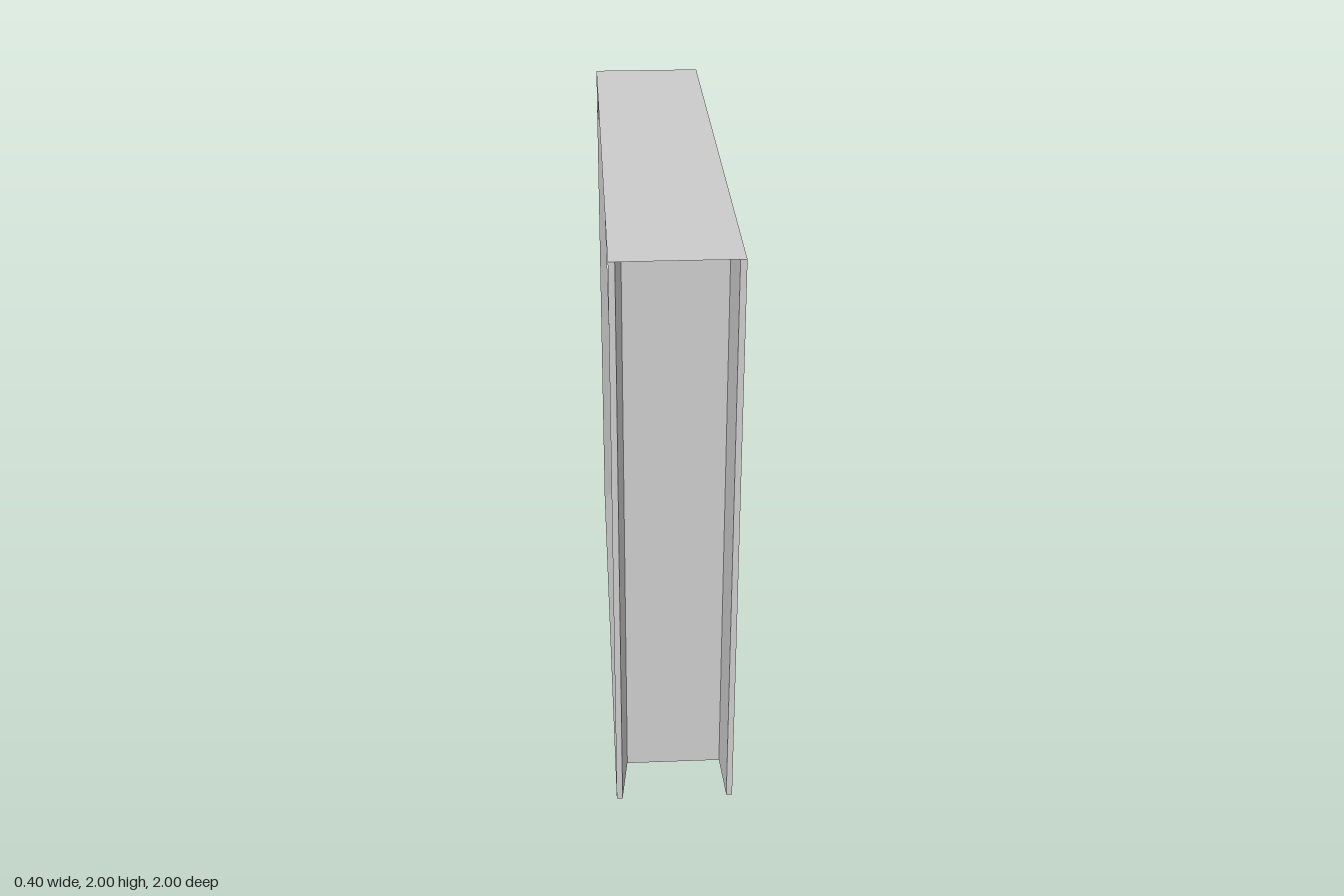
import * as THREE from 'three';

const material = new THREE.MeshStandardMaterial({
  color: 0xcccccc, flatShading: true, side: THREE.DoubleSide,
});

const DEPTH = 0.084; // channel depth
const TIP = 0.2, LIP = 0.18, ROOT = 0.16; // half widths across the channel

// Builds one mesh from convex polygons, each a list of [x, y, z] corners
function sheet(name, polygons) {
  const positions = [];
  for (const p of polygons) {
    for (let i = 1; i < p.length - 1; i++) positions.push(...p[0], ...p[i], ...p[i + 1]);
  }
  const geometry = new THREE.BufferGeometry();
  geometry.setAttribute('position', new THREE.Float32BufferAttribute(positions, 3));
  geometry.computeVertexNormals();
  const mesh = new THREE.Mesh(geometry, material);
  mesh.name = name;
  return mesh;
}

// Channel profile: [x, k], where k = 0 is the outer rim and k = 1 the web
const profile = [
  [TIP, 0], [LIP, 0], [ROOT, 1], [-ROOT, 1], [-LIP, 0], [-TIP, 0],
];
// Web and inner flange faces, then the flared outer flange faces
const strips = profile.slice(1).map((p, i) => [profile[i], p]);
strips.push([[ROOT, 1], [TIP, 0]], [[-TIP, 0], [-ROOT, 1]]);

// Sweeps the profile between two mitred ends, each { rim: [y, z], web: [y, z] }
function channel(name, a, b) {
  const at = (end, [x, k]) => [x, ...(k ? end.web : end.rim)];
  return sheet(name, strips.map(([p, q]) => [at(a, p), at(a, q), at(b, q), at(b, p)]));
}

export function createModel() {
  const group = new THREE.Group();
  group.name = 'channelFrame';

  const top = (s) => ({ rim: [2, s], web: [1.985, s * (1 - DEPTH)] });
  const corner = (s) => ({ rim: [0, s], web: [DEPTH, s * (1 - DEPTH)] });

  // Three channel sides
  group.add(channel('frontPost', top(1), corner(1)));
  group.add(channel('bottomRail', corner(1), corner(-1)));
  group.add(channel('backPost', corner(-1), top(-1)));

  // Thin top plate
  group.add(sheet('topPlate', [[[-TIP, 2, 1], [TIP, 2, 1], [TIP, 2, -1], [-TIP, 2, -1]]]));

  // Sloping corner braces, notched around the posts
  for (const s of [1, -1]) {
    const at = (x, d) => [x, 1.8 + d * 0.5, s * (1 - d)];
    const polygons = [[at(-ROOT, DEPTH), at(ROOT, DEPTH), at(TIP, 0.4), at(-TIP, 0.4)]];
    for (const m of [1, -1]) {
      polygons.push([at(m * TIP, 0), at(m * TIP, 0.4), at(m * ROOT, DEPTH)]);
    }
    group.add(sheet(s > 0 ? 'frontBrace' : 'backBrace', polygons));
  }
  return group;
}
